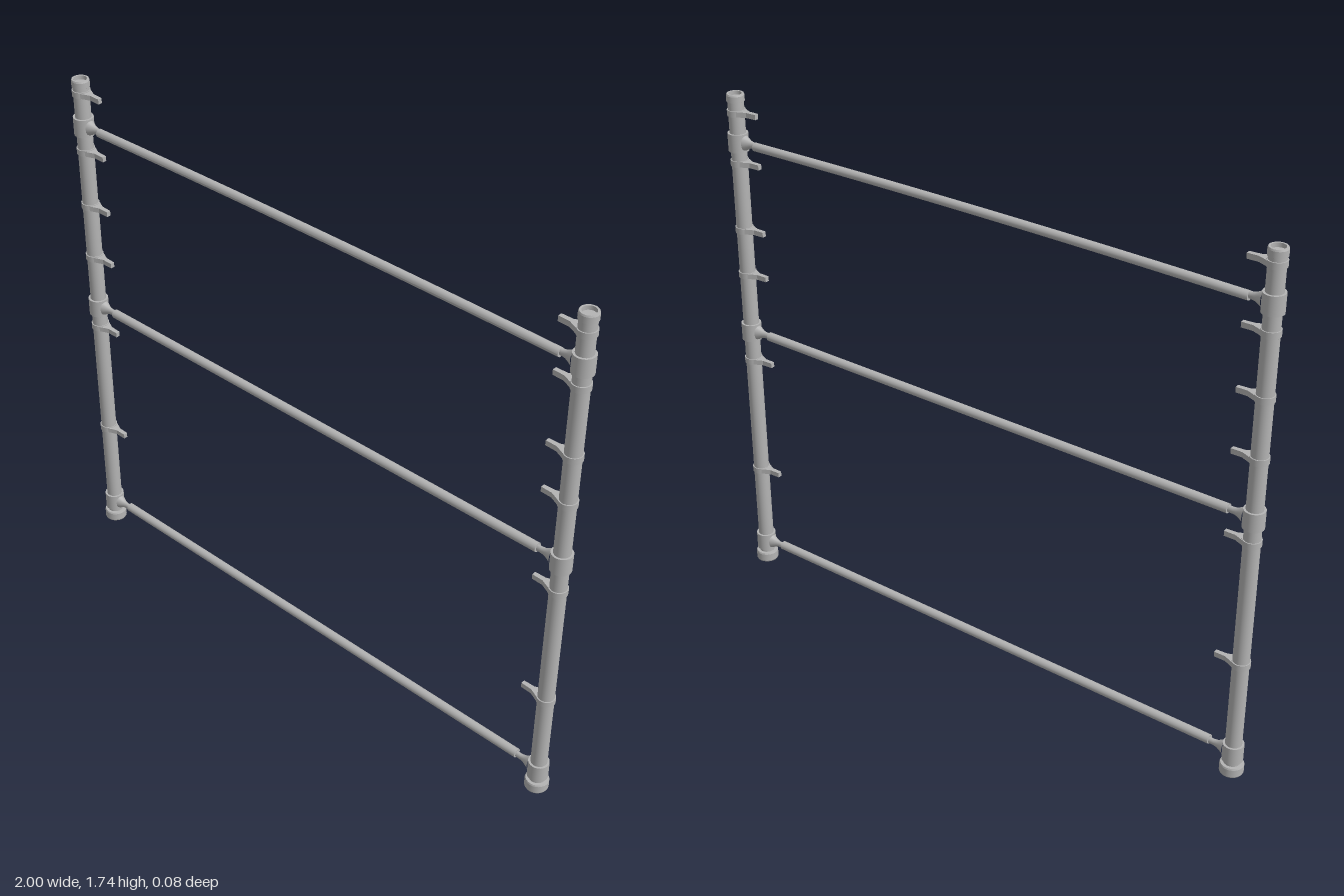
import * as THREE from 'three';

const POST_X = 0.962;
const steel = new THREE.MeshStandardMaterial({ color: 0xb4b4b4 });
steel.name = 'galvanised grey';

function add(parent, name, geometry, x = 0, y = 0, z = 0) {
  const mesh = new THREE.Mesh(geometry, steel);
  mesh.name = name;
  mesh.position.set(x, y, z);
  parent.add(mesh);
  return mesh;
}

// Lathe whose straight segments keep their hard edges
function turned(points, sides = 24) {
  const profile = [];
  points.forEach(([r, y], i) => {
    profile.push(new THREE.Vector2(r, y));
    if (i > 0 && i < points.length - 1) profile.push(new THREE.Vector2(r, y + 1e-5));
  });
  return new THREE.LatheGeometry(profile, sides);
}

// Flattened socket that joins a collar to a rail; local +x points to the rail
function neckGeometry() {
  const profile = [[0.026, 0], [0.019, 0.012], [0.013, 0.024], [0.011, 0.036], [0.011, 0.06]];
  const g = new THREE.LatheGeometry(profile.map(([r, y]) => new THREE.Vector2(r, y)), 16);
  g.rotateZ(-Math.PI / 2);
  g.scale(1, 1, 0.75);
  return g;
}

// Tapered clip arm, lying flat; local +x points away from the post
function armGeometry() {
  const s = new THREE.Shape();
  s.moveTo(0.015, -0.024);
  s.lineTo(0.032, -0.016);
  s.lineTo(0.05, -0.008);
  s.lineTo(0.087, -0.007);
  s.lineTo(0.087, 0.007);
  s.lineTo(0.05, 0.008);
  s.lineTo(0.032, 0.016);
  s.lineTo(0.015, 0.024);
  const g = new THREE.ExtrudeGeometry(s, { depth: 0.017, bevelEnabled: false });
  g.rotateX(-Math.PI / 2);
  g.translate(0, -0.0085, 0);
  return g;
}

const railHeights = [0.077, 0.914, 1.584];

function buildPost(side, clipHeights, tilt) {
  const post = new THREE.Group();
  post.name = side < 0 ? 'rightPost' : 'leftPost';
  post.position.x = side * POST_X;
  if (side > 0) post.rotation.y = Math.PI; // inner side faces the middle

  add(post, 'postTube', new THREE.CylinderGeometry(0.026, 0.026, 1.715, 24), 0, 0.8725);
  // Hollow foot
  add(post, 'foot', turned([[0.026, 0.012], [0.026, 0], [0.036, 0], [0.038, 0.004],
    [0.038, 0.03], [0.036, 0.035], [0.025, 0.035]]));
  // Rim around the recessed top
  add(post, 'topRim', turned([[0.025, 1.718], [0.029, 1.718], [0.029, 1.738],
    [0.027, 1.743], [0.021, 1.743], [0.021, 1.729]]));

  // Rail collars
  for (const y of railHeights) {
    add(post, 'railCollar', turned([[0.025, -0.03], [0.033, -0.03], [0.033, 0.03], [0.025, 0.03]]), 0, y);
    add(post, 'railNeck', neckGeometry(), 0.03, y);
  }

  // Clips with a band round the tube
  for (const y of clipHeights) {
    const clip = new THREE.Group();
    clip.name = 'clip';
    clip.position.y = y;
    add(clip, 'clipBand', turned([[0.025, -0.01], [0.0295, -0.01], [0.0295, 0.01], [0.025, 0.01]]));
    const arm = add(clip, 'clipArm', armGeometry());
    arm.rotation.z = tilt;
    post.add(clip);
  }
  return post;
}

export function createModel() {
  const model = new THREE.Group();
  model.name = 'railFrame';
  model.add(buildPost(-1, [0.408, 0.835, 1.107, 1.3, 1.497, 1.697], -0.03));
  model.add(buildPost(1, [0.375, 0.806, 1.124, 1.283, 1.514, 1.681], 0.02));

  // Straight bottom and middle rails
  [['bottomRail', 0.08], ['middleRail', 0.914]].forEach(([name, y]) => {
    const g = new THREE.CylinderGeometry(0.015, 0.015, 1.76, 16);
    g.rotateZ(Math.PI / 2);
    add(model, name, g, 0, y);
  });

  // Top rail, bowed slightly upward in the middle
  const top = new THREE.CylinderGeometry(0.014, 0.014, 1.78, 16, 12);
  top.rotateZ(Math.PI / 2);
  const p = top.attributes.position;
  for (let i = 0; i < p.count; i++) {
    const t = p.getX(i) / 0.89;
    p.setY(i, p.getY(i) + 0.008 * (1 - t * t));
  }
  top.computeVertexNormals();
  add(model, 'topRail', top, 0, 1.581);
  return model;
}
